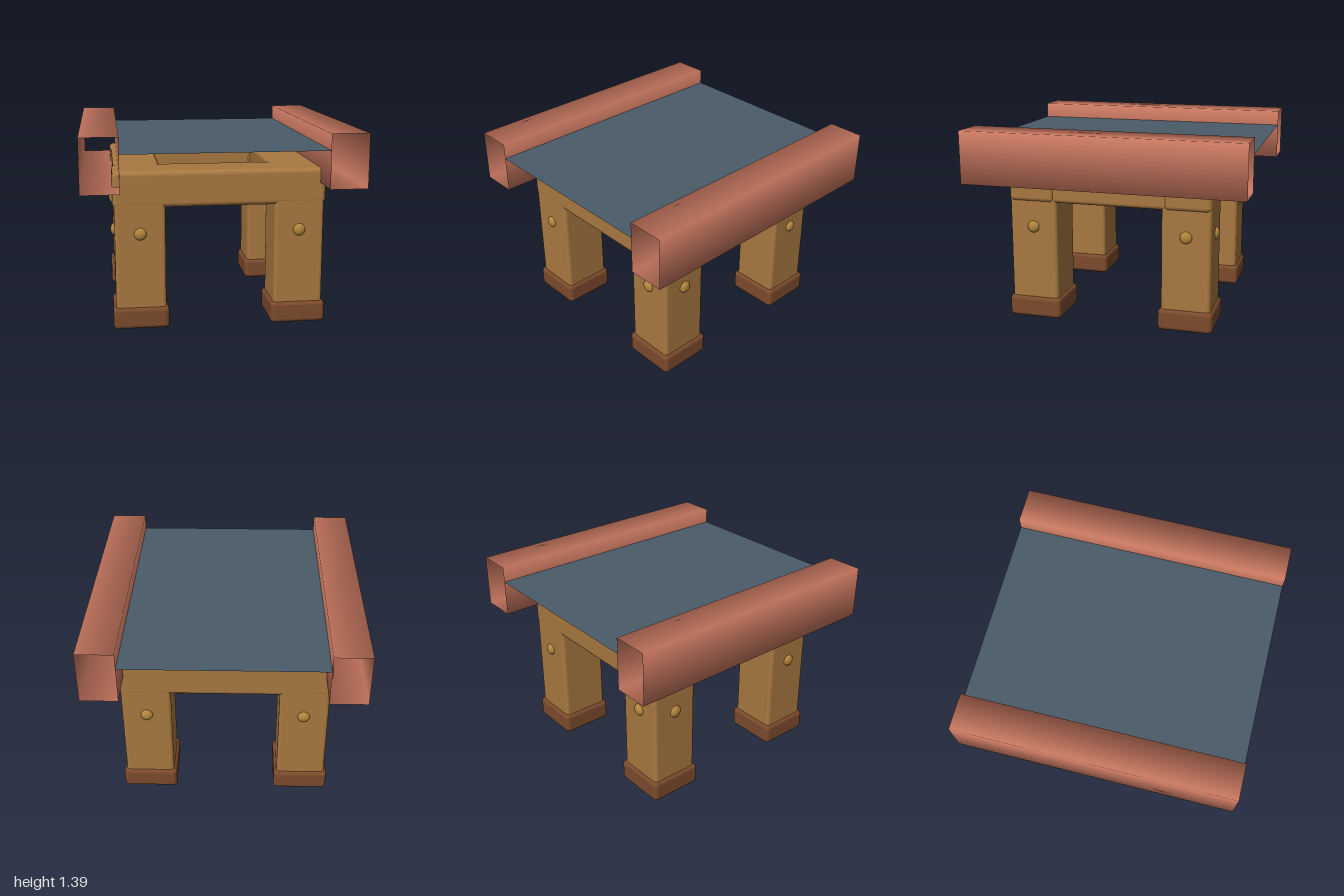
import * as THREE from 'three';
import { RoundedBoxGeometry } from 'three/addons/geometries/RoundedBoxGeometry.js';

const mat = (name, color, side = THREE.FrontSide) => {
  const m = new THREE.MeshStandardMaterial({ color, side });
  m.name = name;
  return m;
};

export function createModel() {
  const wood = mat('oak wood', 0xa87840);
  const darkWood = mat('dark foot wood', 0x7c4a2c);
  const brass = mat('golden peg', 0xb4853c);
  const slate = mat('slate top', 0x4a5c69, THREE.DoubleSide);
  const clay = mat('terracotta rail', 0xc8775f, THREE.DoubleSide);

  const table = new THREE.Group();
  table.name = 'table';
  const base = new THREE.Group();
  base.name = 'base';
  base.position.set(-0.003, 0, 0.002);
  table.add(base);

  const add = (parent, name, geometry, material, x, y, z) => {
    const mesh = new THREE.Mesh(geometry, material);
    mesh.name = name;
    mesh.position.set(x, y, z);
    parent.add(mesh);
    return mesh;
  };
  // Rounded block given by its centre, bottom and top
  const block = (name, material, x, z, w, d, y0, y1, r) =>
    add(base, name, new RoundedBoxGeometry(w, y1 - y0, d, 4, r), material, x, (y0 + y1) / 2, z);

  // Legs, feet and the two pegs on each leg's outer faces
  const pegGeometry = new THREE.SphereGeometry(0.043, 24, 16);
  for (const sx of [-1, 1]) {
    for (const sz of [-1, 1]) {
      const x = sx * 0.558, z = sz * 0.558;
      block('leg', wood, x, z, 0.352, 0.352, 0, 1.05, 0.025);
      block('foot', darkWood, x, z, 0.392, 0.392, 0.002, 0.157, 0.03);
      add(base, 'frontPeg', pegGeometry, brass, x, 0.685, sz * 0.734).scale.z = 0.63;
      add(base, 'sidePeg', pegGeometry, brass, sx * 0.734, 0.685, z).scale.x = 0.63;
    }
  }

  // Frame beams resting on the legs
  for (const s of [-1, 1]) {
    block('crossBeam', wood, 0, s * 0.567, 1.492, 0.336, 0.866, 1.122, 0.035);
    block('sideBeam', wood, s * 0.567, 0, 0.336, 1.4, 0.866, 1.122, 0.03);
  }

  // Thin top sheet
  const sheet = new THREE.PlaneGeometry(1.4, 2).rotateX(-Math.PI / 2);
  add(table, 'topSheet', sheet, slate, 0, 1.28, 0);

  // Open square tubes along both sides, softly shaded across their corners
  const tube = new THREE.CylinderGeometry(Math.SQRT1_2, Math.SQRT1_2, 2, 4, 1, true, Math.PI / 4)
    .rotateX(Math.PI / 2).scale(0.26, 0.375, 1);
  for (const s of [-1, 1]) add(table, 'sideRail', tube, clay, s * 0.83, 1.205, 0);

  return table;
}
